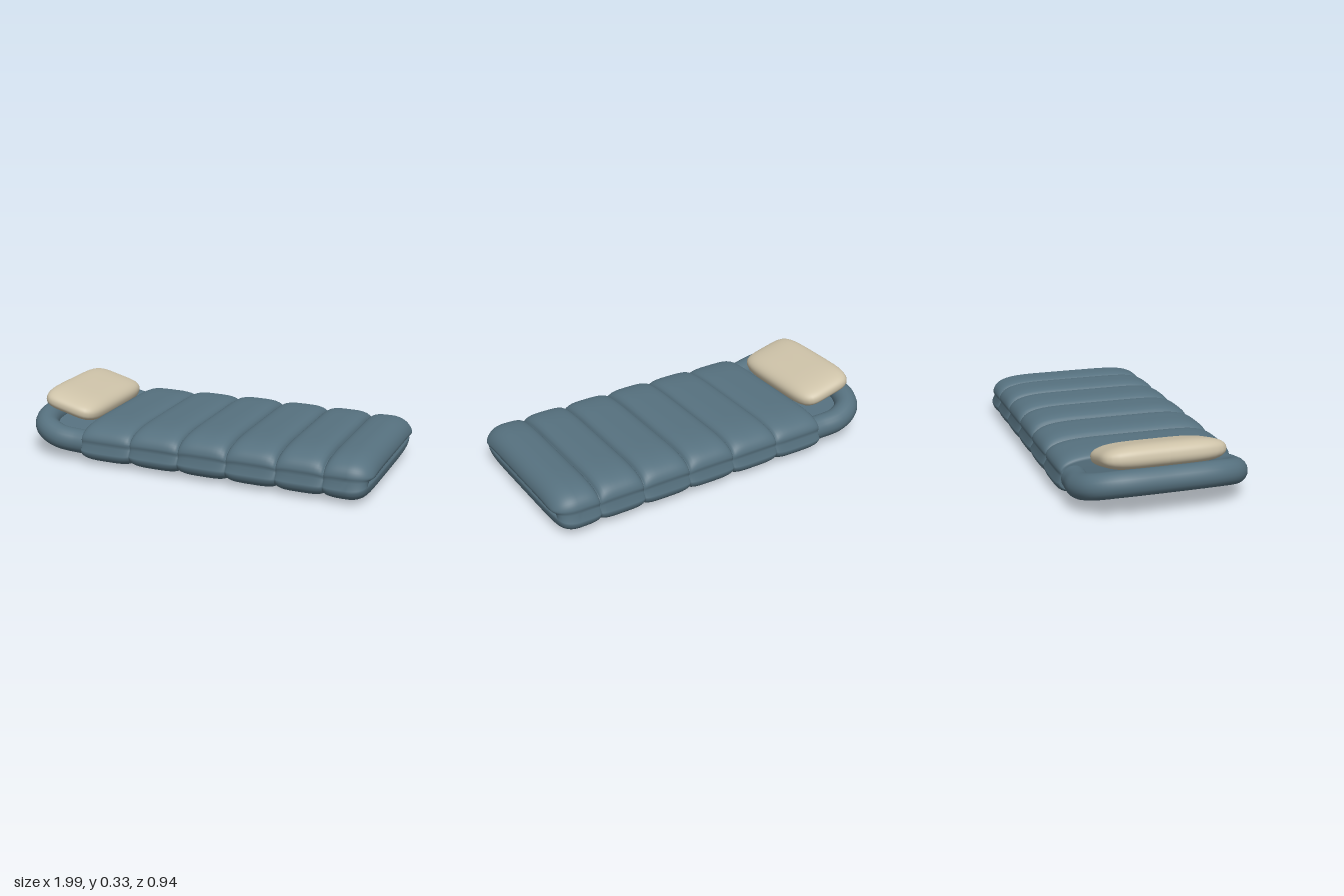
import * as THREE from 'three';

const blue = new THREE.MeshStandardMaterial({ color: 0x56717f });
blue.name = 'slate blue fabric';
const beige = new THREE.MeshStandardMaterial({ color: 0xcdc2a8 });
beige.name = 'beige pillow fabric';
const grey = new THREE.MeshStandardMaterial({ color: 0xaeaca6 });
grey.name = 'grey underside';

const spow = (v, e) => Math.sign(v) * Math.abs(v) ** e;
const notch = (y) => Math.exp(-(((y - 0.117) / 0.012) ** 2));

function addMesh(group, name, geometry, material) {
  const mesh = new THREE.Mesh(geometry, material);
  mesh.name = name;
  group.add(mesh);
  return mesh;
}

// Cross-sections along x: each has x, top, bottom, half width and end amount
function bodySections() {
  const seams = [-0.61, -0.32, -0.04, 0.23, 0.5, 0.75];
  const tops = [0.224, 0.233, 0.24, 0.24, 0.241, 0.236];
  const sections = [];
  const puffed = (x, t, top) => {
    const p = Math.sqrt(1 - Math.abs(2 * t - 1) ** 4);
    return { x, top: 0.19 + (top - 0.19) * p, bottom: 0.028 * (1 - p), half: 0.45 + 0.013 * p, end: 0 };
  };
  // Quilted tubes between the seams
  for (let i = 0; i < 5; i++) {
    for (let k = 0; k < 14; k++) {
      const t = (1 - Math.cos((Math.PI * k) / 14)) / 2;
      sections.push(puffed(seams[i] + t * (seams[i + 1] - seams[i]), t, tops[i]));
    }
  }
  for (let k = 0; k < 7; k++) {
    const t = (1 - Math.cos((Math.PI * k) / 14)) / 2;
    sections.push(puffed(0.75 + t * 0.24, t, tops[5]));
  }
  // Rounded foot end
  for (let k = 0; k <= 16; k++) {
    const a = (k / 16) * Math.PI * 0.49;
    const h = 0.118 * Math.cos(a) ** 0.75;
    sections.push({
      x: 0.87 + 0.122 * Math.sin(a), top: 0.118 + h, bottom: 0.118 - h,
      half: 0.463 - 0.1 * (1 - Math.cos(a)), end: Math.sin(a),
    });
  }
  return sections;
}

function bodyGeometry() {
  const n = 64;
  const sections = bodySections();
  const pos = [];
  const index = [];
  for (const s of sections) {
    const mid = (s.top + s.bottom) / 2;
    const h = (s.top - s.bottom) / 2;
    for (let j = 0; j < n; j++) {
      const a = (j / n) * Math.PI * 2;
      const sin = Math.sin(a);
      const y = mid + h * spow(sin, sin > 0 ? 0.75 : 0.5);
      // Side crease with a slightly fuller lower half
      const half = s.half + (sin < 0 ? 0.006 : -0.003) - 0.01 * notch(y);
      const x = s.x - s.end ** 4 * (0.025 * notch(y) + (y < 0.115 ? 0.022 : 0));
      pos.push(x, y, half * spow(Math.cos(a), 0.35));
    }
  }
  const last = (sections.length - 1) * n;
  for (let i = 0; i < sections.length - 1; i++) {
    for (let j = 0; j < n; j++) {
      const a = i * n + j;
      const b = i * n + ((j + 1) % n);
      index.push(a, a + n, b + n, a, b + n, b);
    }
  }
  // Closing caps
  const startCentre = pos.length / 3;
  pos.push(-0.61, 0.11, 0, 0.965, 0.117, 0);
  for (let j = 0; j < n; j++) {
    const k = (j + 1) % n;
    index.push(startCentre, j, k, startCentre + 1, last + k, last + j);
  }
  const g = new THREE.BufferGeometry();
  g.setAttribute('position', new THREE.Float32BufferAttribute(pos, 3));
  g.setIndex(index);
  g.computeVertexNormals();
  return g;
}

// Soft cushion: a sphere pushed towards a box
function cushionGeometry(sx, sy, sz) {
  const g = new THREE.SphereGeometry(1, 64, 40);
  const p = g.attributes.position;
  for (let i = 0; i < p.count; i++) {
    const v = new THREE.Vector3().fromBufferAttribute(p, i);
    const r = Math.hypot(v.x, v.z);
    const flat = r > 1e-6 ? r ** 0.5 / r : 0;
    const k = r > 1e-6 ? 1 / (((Math.abs(v.x) / r) ** 5 + (Math.abs(v.z) / r) ** 5) ** 0.2) : 1;
    p.setXYZ(i, sx * v.x * flat * k, sy * spow(v.y, 0.85), sz * v.z * flat * k);
  }
  g.computeVertexNormals();
  return g;
}

export function createModel() {
  const model = new THREE.Group();
  model.name = 'sleepingBag';

  addMesh(model, 'quiltedBody', bodyGeometry(), blue);

  // Padded U-shaped hood rim
  const side = [[-0.59, 0.1, 0.38], [-0.66, 0.103, 0.385], [-0.77, 0.118, 0.395], [-0.87, 0.145, 0.355],
    [-0.925, 0.165, 0.25]];
  const points = [
    ...side.map(([x, y, z]) => new THREE.Vector3(x, y, z)),
    new THREE.Vector3(-0.935, 0.168, 0),
    ...side.map(([x, y, z]) => new THREE.Vector3(x, y, -z)).reverse(),
  ];
  const path = new THREE.CatmullRomCurve3(points, false, 'centripetal');
  addMesh(model, 'hoodRim', new THREE.TubeGeometry(path, 72, 0.065, 20, false), blue);

  // Sloping hood floor and its underside panel
  const floor = new THREE.Group();
  floor.name = 'hoodFloor';
  floor.position.set(-0.755, 0.11, 0);
  floor.rotation.z = -0.21;
  addMesh(floor, 'hoodPad', new THREE.BoxGeometry(0.32, 0.05, 0.7), blue);
  const panel = addMesh(floor, 'undersidePanel', new THREE.BoxGeometry(0.32, 0.008, 0.7), grey);
  panel.position.y = -0.029;
  model.add(floor);

  // Pillow tilted up towards the head end
  const pillow = addMesh(model, 'pillow', cushionGeometry(0.172, 0.064, 0.318), beige);
  pillow.position.set(-0.78, 0.25, -0.005);
  pillow.rotation.z = -0.25;

  return model;
}
